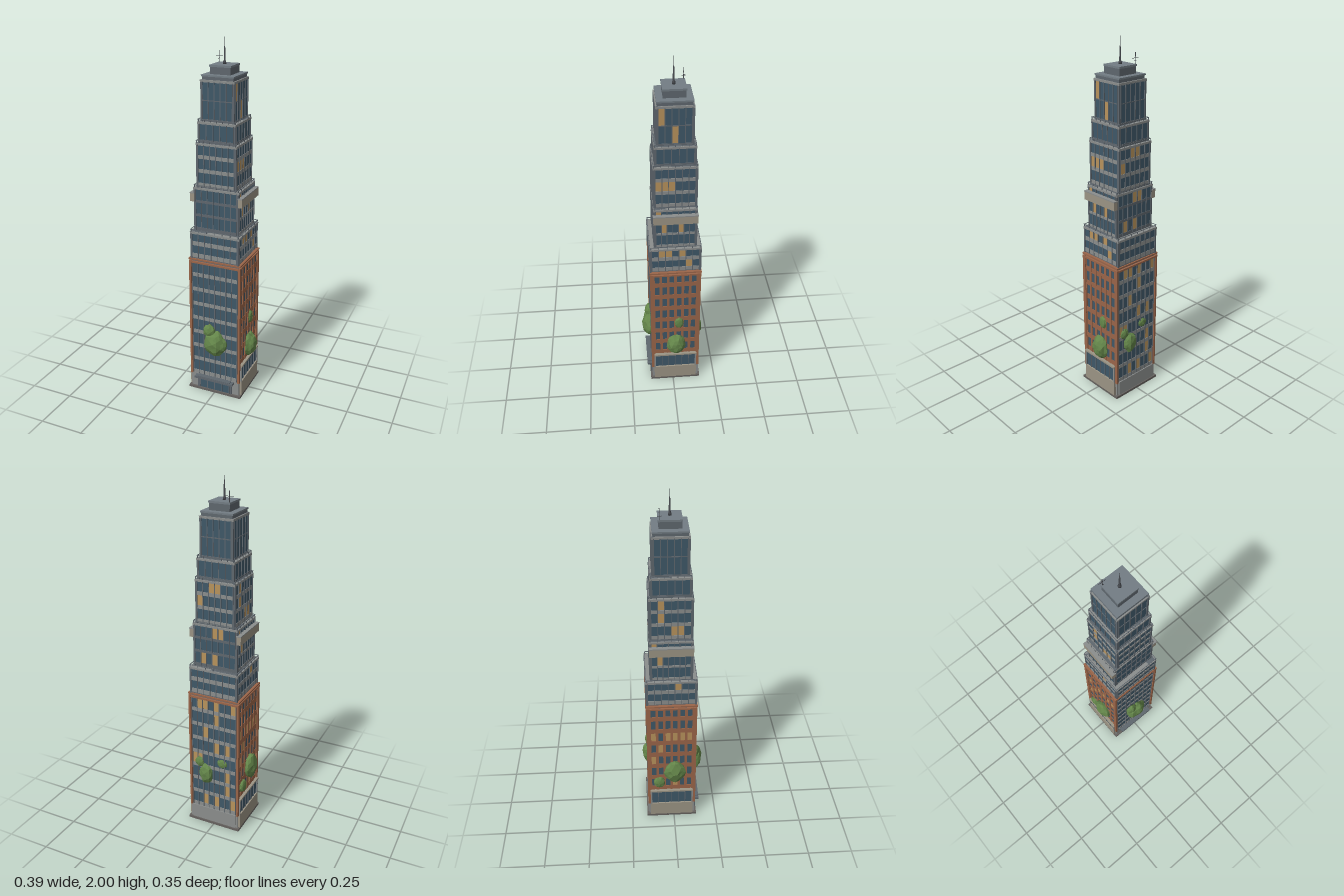
import * as THREE from 'three';
import { mergeGeometries } from 'three/addons/utils/BufferGeometryUtils.js';

const COLORS = {
  glass: 0x3f5868, litWindow: 0xb8935c, steel: 0x5f676e, spandrel: 0x8b8e8d, brick: 0x9a6549,
  stone: 0x9b9484, roof: 0x737d84, plinth: 0x66625f, foliage: 0x64864a, metal: 0x4a4d52,
};
const mat = (name, flat = false) => new THREE.MeshStandardMaterial({ color: COLORS[name], flatShading: flat });

export function createModel() {
  const model = new THREE.Group();
  model.name = 'skyscraper';
  const tower = new THREE.Group();
  tower.name = 'tower';
  tower.position.z = -0.0135;
  model.add(tower);

  let seed = 7;
  const rand = () => (seed = (seed * 16807) % 2147483647) / 2147483647;

  // Boxes are gathered per part and material, then merged into one mesh each.
  let parts = {};
  const add = (key, geo) => (parts[key] ??= []).push(geo);
  const box = (key, w, h, d, x, y, z) => add(key, new THREE.BoxGeometry(w, h, d).translate(x, y, z));
  // Box on a side: 0 front, 1 +x, 2 back, 3 -x; u runs along the wall, out is the centre distance.
  const wallBox = (side, key, w, h, d, u, y, out) =>
    add(key, new THREE.BoxGeometry(w, h, d).translate(u, y, out).rotateY(side * Math.PI / 2));
  const flush = (name) => {
    const group = new THREE.Group();
    group.name = name;
    for (const [key, list] of Object.entries(parts)) {
      const mesh = new THREE.Mesh(mergeGeometries(list), mat(key));
      mesh.name = `${name} ${key}`;
      group.add(mesh);
    }
    tower.add(group);
    parts = {};
  };
  // Flat slab running round the tower
  const slab = (key, hx, hz, y0, y1) => box(key, 2 * hx, y1 - y0, 2 * hz, 0, (y0 + y1) / 2, 0);

  // Window grid with mullions and floor bands on one side
  function curtainWall(side, half, out, y0, y1, cols, rows, o) {
    const cw = 2 * half / cols, rh = (y1 - y0) / rows, band = o.band ?? 0.02;
    for (let r = 0; r < rows; r++) {
      const y = y0 + r * rh;
      for (let c = 0; c < cols; c++) {
        const lit = rand() < (o.lit ?? 0.1);
        wallBox(side, lit ? 'litWindow' : 'glass', cw, rh, 0.003, -half + (c + 0.5) * cw, y + rh / 2, out);
      }
      if (o.bandKey) wallBox(side, o.bandKey, 2 * half, band, 0.006, 0, y + band / 2, out + 0.001);
    }
    for (let c = 0; c <= cols; c++) {
      const w = o.pier ?? 0.004;
      wallBox(side, o.pierKey ?? 'steel', w, y1 - y0, 0.008, -half + c * cw, (y0 + y1) / 2, out + 0.002);
    }
  }

  // Ground floor: plinth, stone side panels, glazed front entrance
  slab('plinth', 0.16, 0.147, 0, 0.014);
  slab('spandrel', 0.148, 0.136, 0.014, 0.1);
  for (const s of [1, 3]) {
    wallBox(s, 'stone', 0.25, 0.09, 0.014, 0, 0.058, 0.153);
    wallBox(s, 'stone', 0.25, 0.01, 0.018, 0, 0.202, 0.154);
    curtainWall(s, 0.118, 0.15, 0.1, 0.198, 6, 1, { lit: 0 });
    for (const u of [-0.121, 0.121]) wallBox(s, 'spandrel', 0.008, 0.1, 0.016, u, 0.15, 0.152);
  }
  wallBox(2, 'spandrel', 0.27, 0.085, 0.008, 0, 0.0565, 0.137);
  curtainWall(0, 0.09, 0.138, 0.014, 0.08, 4, 1, { lit: 0 });
  wallBox(0, 'steel', 0.235, 0.012, 0.034, 0, 0.088, 0.1475);
  wallBox(0, 'steel', 0.2, 0.006, 0.034, 0, 0.096, 0.146);
  for (const u of [-0.1, 0.1]) wallBox(0, 'steel', 0.012, 0.07, 0.01, u, 0.05, 0.14);
  flush('groundFloor');

  // Brick tier: glazed front and back, punched windows on brick sides
  slab('steel', 0.141, 0.13, 0.1, 0.82);
  for (const s of [0, 2]) {
    curtainWall(s, 0.134, 0.131, 0.1, 0.81, 8, 8,
      { bandKey: 'spandrel', band: 0.022, lit: s ? 0.14 : 0 });
    for (const u of [-0.067, 0, 0.067]) wallBox(s, 'steel', 0.005, 0.71, 0.012, u, 0.455, 0.133);
  }
  for (const s of [1, 3])
    curtainWall(s, 0.122, 0.142, 0.205, 0.81, 6, 7,
      { bandKey: 'brick', band: 0.03, pierKey: 'brick', pier: 0.015, lit: 0.12 });
  for (const x of [-1, 1]) for (const z of [-1, 1])
    box('brick', 0.012, 0.72, 0.02, x * 0.146, 0.455, z * 0.13);
  slab('brick', 0.151, 0.141, 0.802, 0.812);
  slab('brick', 0.153, 0.142, 0.822, 0.83);
  flush('brickTier');

  // Stepped glass tiers: half sizes, heights, columns, rows
  const tiers = [
    { hx: 0.137, hz: 0.134, y0: 0.83, y1: 0.985, cols: 7, rows: 2, band: 0.024 },
    { hx: 0.124, hz: 0.109, y0: 0.985, y1: 1.23, cols: 7, rows: 3, band: 0.014 },
    { hx: 0.108, hz: 0.108, y0: 1.23, y1: 1.47, cols: 6, rows: 3, band: 0.02 },
    { hx: 0.1, hz: 0.1, y0: 1.47, y1: 1.58, cols: 5, rows: 1 },
    { hx: 0.088, hz: 0.088, y0: 1.58, y1: 1.79, cols: 5, rows: 2, band: 0.005 },
  ];
  tiers.forEach((t, i) => {
    slab('steel', t.hx, t.hz, t.y0, t.y1);
    for (let s = 0; s < 4; s++) {
      const [half, out] = s % 2 ? [t.hz, t.hx] : [t.hx, t.hz];
      curtainWall(s, half - 0.006, out + 0.001, t.y0 + 0.008, t.y1 - 0.008, t.cols, t.rows,
        { bandKey: i === 4 || i === 3 || (i === 1 && s % 2 === 0) ? 'steel' : 'spandrel',
          band: t.band ?? 0.01, lit: s === 0 ? 0.01 : 0.12 });
    }
    // Corner posts
    for (const x of [-1, 1]) for (const z of [-1, 1])
      box('steel', 0.011, t.y1 - t.y0, 0.011, x * (t.hx - 0.001), (t.y0 + t.y1) / 2, z * (t.hz - 0.001));
    // Cornice and terrace railing
    slab('spandrel', t.hx + 0.006, t.hz + 0.006, t.y1 - 0.012, t.y1);
    const next = tiers[i + 1];
    if (next) for (let s = 0; s < 4; s++) {
      const [half, out] = s % 2 ? [t.hz, t.hx] : [t.hx, t.hz];
      wallBox(s, 'steel', 2 * half + 0.008, 0.003, 0.003, 0, t.y1 + 0.012, out + 0.003);
      for (let c = 0; c <= 6; c++)
        wallBox(s, 'steel', 0.003, 0.012, 0.003, (c / 3 - 1) * half, t.y1 + 0.006, out + 0.003);
    }
    flush(`glassTier${i + 1}`);
  });

  // Projecting stone balconies on both sides
  for (const s of [1, 3]) {
    wallBox(s, 'stone', 0.232, 0.045, 0.024, 0, 1.172, 0.137);
    wallBox(s, 'spandrel', 0.236, 0.006, 0.026, 0, 1.197, 0.137);
  }
  flush('balconies');

  // Crown, roof parapet and plant room
  slab('steel', 0.086, 0.086, 1.79, 1.808);
  slab('roof', 0.09, 0.09, 1.806, 1.814);
  slab('steel', 0.056, 0.056, 1.814, 1.852);
  slab('roof', 0.059, 0.059, 1.85, 1.86);
  flush('roofTop');

  // Spire
  const spire = new THREE.Mesh(new THREE.LatheGeometry(
    [[0, 1.86], [0.009, 1.86], [0.008, 1.872], [0.005, 1.876], [0.004, 1.93], [0.002, 1.95], [0, 2]]
      .map(([x, y]) => new THREE.Vector2(x, y)), 8), mat('metal'));
  spire.name = 'spire';
  tower.add(spire);

  // Side antenna with crossed arms
  box('metal', 0.003, 0.065, 0.003, -0.053, 1.885, -0.052);
  box('metal', 0.04, 0.002, 0.002, -0.053, 1.89, -0.052);
  box('metal', 0.002, 0.002, 0.02, -0.053, 1.878, -0.052);
  flush('antenna');

  // Foliage clumps growing from the walls: centre, then radii
  const clumps = [
    [[0.005, 0.325, 0.125], [0.072, 0.08, 0.05]],
    [[-0.03, 0.4, 0.13], [0.035, 0.045, 0.025]],
    [[0.155, 0.285, -0.018], [0.04, 0.075, 0.055]],
    [[0.15, 0.45, -0.035], [0.012, 0.04, 0.027]],
    [[-0.15, 0.355, 0.005], [0.046, 0.08, 0.065]],
    [[-0.15, 0.27, -0.085], [0.02, 0.04, 0.035]],
    [[0.05, 0.33, -0.145], [0.045, 0.065, 0.034]],
    [[0.09, 0.4, -0.147], [0.028, 0.035, 0.014]],
    [[-0.05, 0.42, -0.145], [0.03, 0.03, 0.013]],
  ];
  clumps.forEach(([c, r], i) => {
    const geo = new THREE.IcosahedronGeometry(1, 2);
    const p = geo.attributes.position, v = new THREE.Vector3();
    for (let k = 0; k < p.count; k++) {
      v.fromBufferAttribute(p, k);
      const bump = 0.94 + 0.07 * Math.sin(v.x * 7 + i) + 0.07 * Math.sin(v.y * 8 + i * 2) * Math.cos(v.z * 6);
      v.multiplyScalar(bump);
      p.setXYZ(k, v.x, v.y, v.z);
    }
    geo.scale(...r);
    geo.computeVertexNormals();
    const bush = new THREE.Mesh(geo, mat('foliage', true));
    bush.name = `foliage${i + 1}`;
    bush.position.set(...c);
    model.add(bush);
  });

  return model;
}
